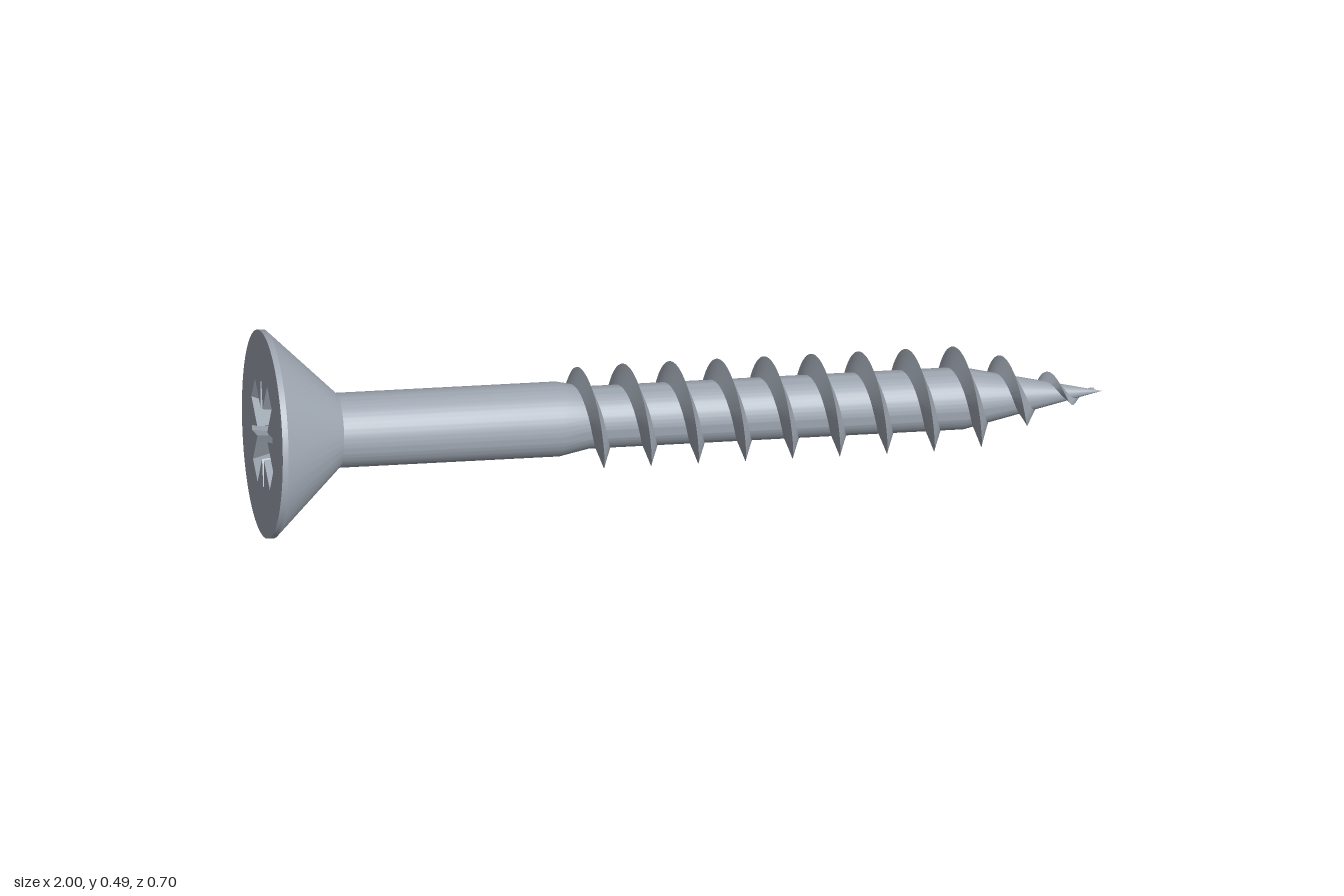
import * as THREE from 'three';
import { toCreasedNormals } from 'three/addons/utils/BufferGeometryUtils.js';

const HEAD_R = 0.244, SHANK_R = 0.0875, CORE_R = 0.073, THREAD_R = 0.121;
const LENGTH = 1.994, TAPER = 1.66, PITCH = 0.112;
const { lerp, clamp, smoothstep } = THREE.MathUtils;

const steel = new THREE.MeshStandardMaterial({ color: 0xa0a8b3, side: THREE.DoubleSide });
steel.name = 'steel';

function part(name, geometry, crease = 0.5) {
  const mesh = new THREE.Mesh(toCreasedNormals(geometry, crease), steel);
  mesh.name = name;
  return mesh;
}

// Surface of revolution around local y, from [radius, distance from head face] pairs
function turned(name, profile) {
  return part(name, new THREE.LatheGeometry(profile.map(p => new THREE.Vector2(...p)), 96));
}

// Faces joining rows of points; closed rows wrap around
function loft(rows, closed) {
  const n = rows[0].length, index = [];
  for (let r = 0; r < rows.length - 1; r++) {
    for (let i = 0; i < (closed ? n : n - 1); i++) {
      const a = r * n + i, b = r * n + (i + 1) % n;
      index.push(a, b, b + n, a, b + n, a + n);
    }
  }
  const g = new THREE.BufferGeometry();
  g.setAttribute('position', new THREE.Float32BufferAttribute(rows.flat(2), 3));
  g.setIndex(index);
  g.computeVertexNormals();
  return g;
}

// Cross outline with a thin notch in each corner between the arms
function crossOutline(reach, half, notch) {
  const points = [];
  const corner = half * 1.25, slit = 0.008;
  for (let k = 0; k < 4; k++) {
    const quarter = [
      [reach, -half], [reach, half], [corner + slit, corner - slit],
      [notch + slit / 2, notch - slit / 2], [notch - slit / 2, notch + slit / 2],
      [corner - slit, corner + slit],
    ];
    const turn = k * Math.PI / 2 - 0.3;
    for (const p of quarter) {
      points.push(new THREE.Vector2(...p).rotateAround(new THREE.Vector2(), turn));
    }
  }
  return points;
}

const coreRadius = s => s < TAPER ? CORE_R : CORE_R * (LENGTH - s) / (LENGTH - TAPER);

// Right-hand helical ridge with a triangular section, fading in and tapering to the tip
function threadGeometry() {
  const start = 0.715, end = 1.975, steps = 900, rows = [];
  for (let i = 0; i <= steps; i++) {
    const s = lerp(start, end, i / steps);
    const angle = (s - 1.32) / PITCH * Math.PI * 2;
    const core = coreRadius(s);
    const full = lerp(THREAD_R, 0.009, clamp((s - 1.69) / (end - 1.69), 0, 1));
    const crest = lerp(core, Math.max(full, core), smoothstep(s, start, start + 0.04));
    const w = 0.019 * clamp((crest - core) / 0.03, 0.15, 1);
    const root = Math.max(core - 0.004, 0.001);
    rows.push([[root, -w], [crest, 0], [root, w]].map(([r, d]) =>
      [r * Math.cos(angle), s + d, -r * Math.sin(angle)]));
  }
  // Swap the row direction so that the flanks face outward
  return loft(rows.map(row => row.reverse()), false);
}

export function createModel() {
  const screw = new THREE.Group();
  screw.name = 'woodScrew';

  // Countersunk head
  screw.add(turned('headCone', [[HEAD_R, 0], [HEAD_R, 0.014], [SHANK_R, 0.177]]));
  const top = crossOutline(0.138, 0.034, 0.088);
  const bottom = crossOutline(0.078, 0.028, 0.045);
  const face = new THREE.Shape().absarc(0, 0, HEAD_R, 0, Math.PI * 2);
  face.holes.push(new THREE.Path(top));
  screw.add(part('headFace', new THREE.ShapeGeometry(face, 48).rotateX(Math.PI / 2)));

  // Cross drive recess, narrowing to a shallow point
  const ring = (outline, depth) => outline.map(p => [p.x, depth, p.y]);
  screw.add(part('driveRecess', loft([
    ring(top, 0), ring(bottom, 0.11), bottom.map(() => [0, 0.14, 0]),
  ], true), 0.3));

  // Plain shank, easing down to the threaded core and the point
  screw.add(turned('shank', [[SHANK_R, 0.177], [SHANK_R, 0.70], [CORE_R, 0.77]]));
  screw.add(turned('threadedCore', [[CORE_R, 0.77], [CORE_R, TAPER], [0, LENGTH]]));
  screw.add(part('thread', threadGeometry(), 0.6));

  // Lay the screw down: local y runs from the head to the tip
  const axis = new THREE.Vector3(0.977, -0.069, 0.201).normalize();
  const up = new THREE.Vector3(0, 1, 0).addScaledVector(axis, -axis.y).normalize();
  const side = new THREE.Vector3().crossVectors(up, axis);
  screw.quaternion.setFromRotationMatrix(new THREE.Matrix4().makeBasis(up, axis, side));
  screw.position.set(-0.948, 0.2435, -0.115);

  const model = new THREE.Group();
  model.name = 'screwModel';
  model.add(screw);
  return model;
}
